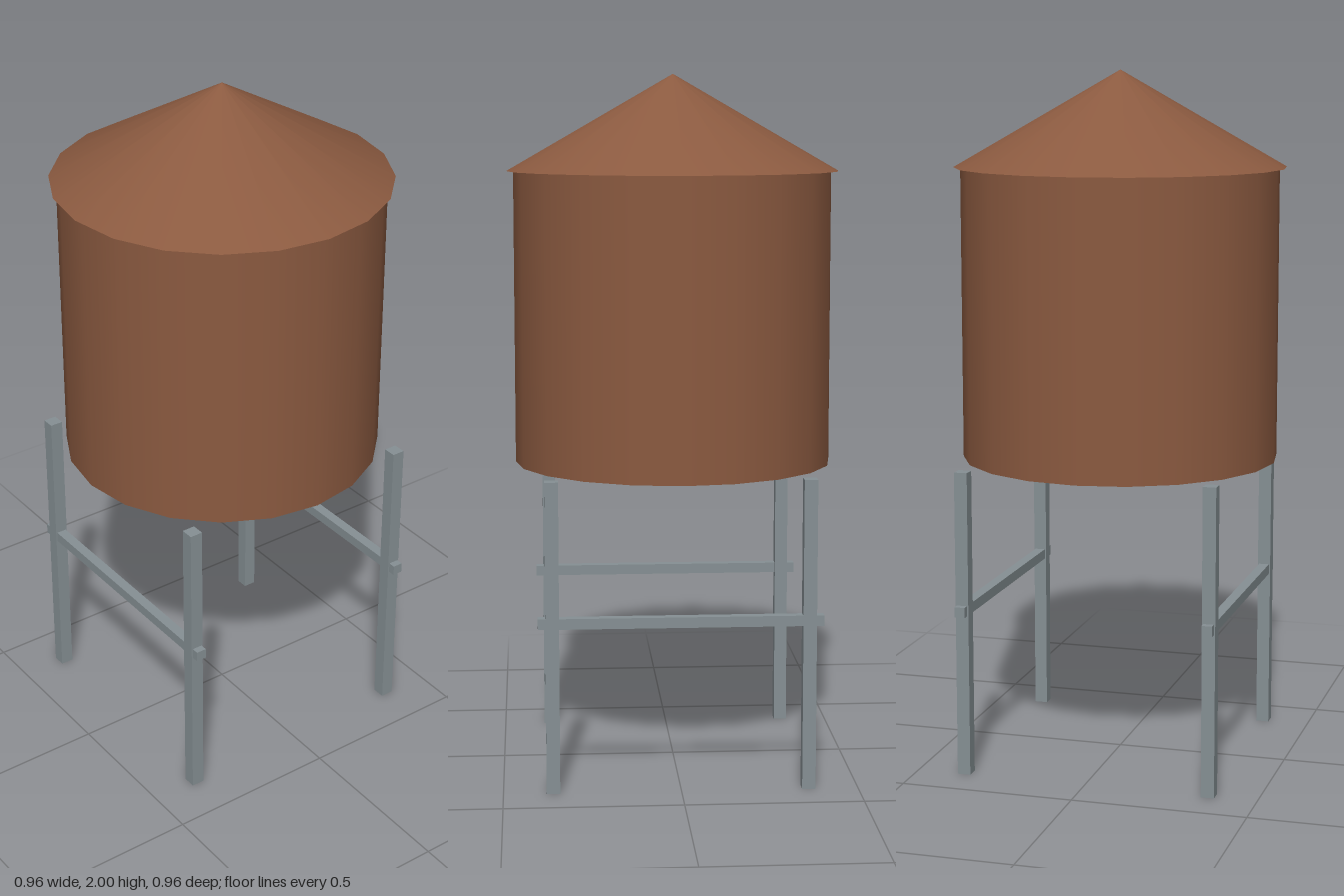
import * as THREE from 'three';

export function createModel() {
  const model = new THREE.Group();
  model.name = 'waterTower';
  const rust = new THREE.MeshStandardMaterial({ color: 0x8b5a40 });
  const steel = new THREE.MeshStandardMaterial({ color: 0x869094 });

  const add = (name, geometry, material, x, y, z) => {
    const mesh = new THREE.Mesh(geometry, material);
    mesh.name = name;
    mesh.position.set(x, y, z);
    model.add(mesh);
  };

  const sides = 20, legTop = 0.885, tankTop = 1.725, legOffset = 0.36;

  // Tank and overhanging conical roof
  const tankHeight = tankTop - legTop;
  add('tank', new THREE.CylinderGeometry(0.458, 0.458, tankHeight, sides), rust, 0, legTop + tankHeight / 2, 0);
  const roofHeight = 2 - tankTop;
  add('roof', new THREE.ConeGeometry(0.478, roofHeight, sides), rust, 0, tankTop + roofHeight / 2, 0);

  // Four legs, joined in pairs by a crossbar at the front and back
  const legGeometry = new THREE.BoxGeometry(0.038, legTop, 0.038);
  const barGeometry = new THREE.BoxGeometry(0.8, 0.03, 0.03);
  for (const [end, sz] of [['front', 1], ['back', -1]]) {
    for (const [side, sx] of [['Left', 1], ['Right', -1]]) {
      add(`${end}${side}Leg`, legGeometry, steel, sx * legOffset, legTop / 2, sz * legOffset);
    }
    add(`${end}Crossbar`, barGeometry, steel, 0, 0.485, sz * legOffset);
  }
  return model;
}
